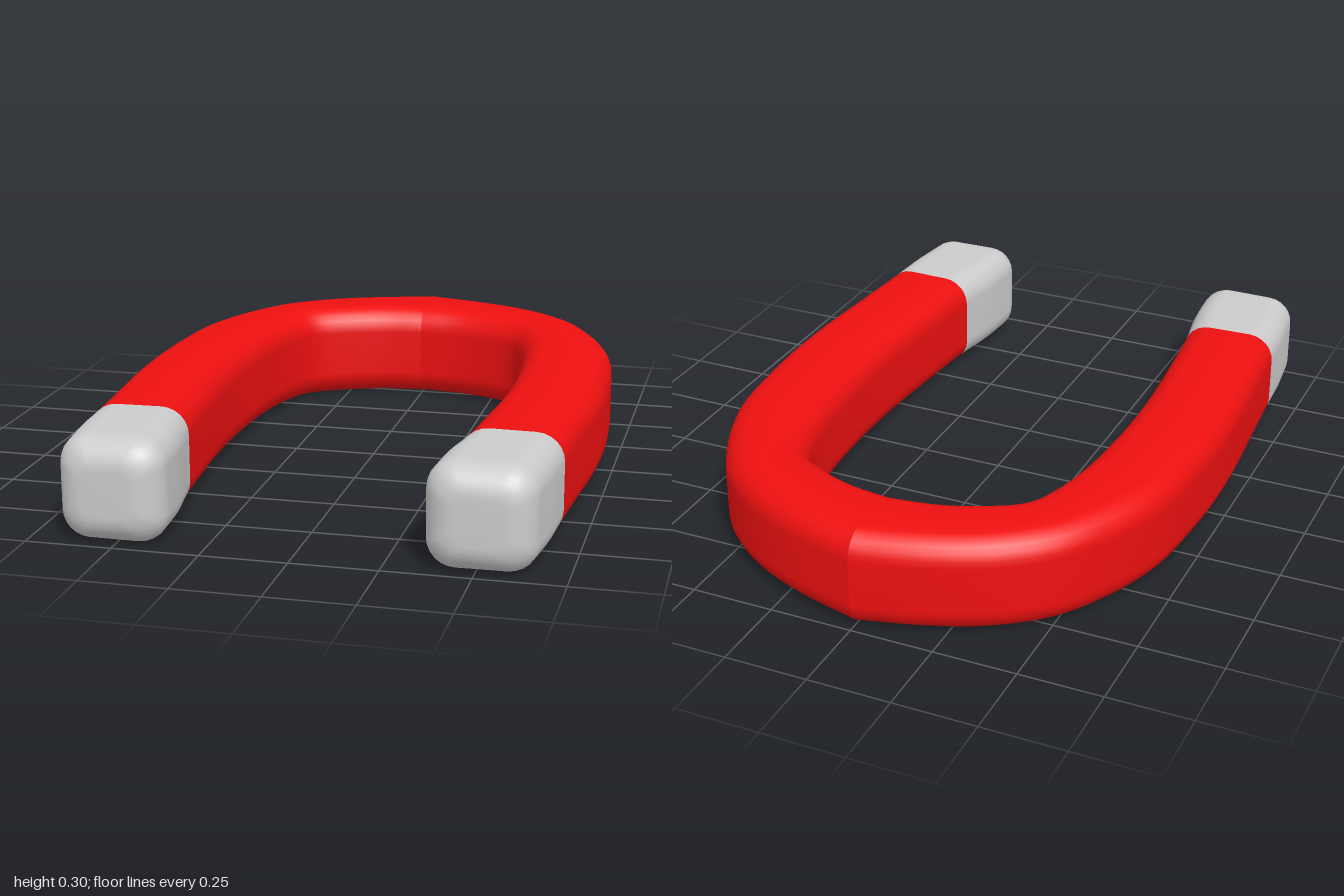
import * as THREE from 'three';

// Outline pairs for one half, from the bend to the tip: [outer x, outer z, inner x, inner z]
const OUTLINE = [
  [0, -1, 0, -0.71], [0.2, -0.945, 0.13, -0.69], [0.37, -0.87, 0.25, -0.645],
  [0.52, -0.75, 0.34, -0.585], [0.62, -0.59, 0.385, -0.48], [0.69, -0.4, 0.415, -0.33],
  [0.715, -0.2, 0.43, -0.15], [0.725, 0, 0.435, 0], [0.72, 0.2, 0.43, 0.2],
  [0.705, 0.4, 0.415, 0.4], [0.688, 0.635, 0.395, 0.625], [0.68, 0.78, 0.37, 0.78],
  [0.665, 0.91, 0.36, 0.915],
];
const SEAM = 10;          // outline pair where the red paint ends
const STEPS = 5;          // rings per outline span
const HALF_HEIGHT = 0.15;
const CORNER = 0.08;
const TIP_ROUND = 0.085;

// Rounded-rectangle ring between an inner and an outer point
function ring(outer, inner, inset = 0, push = 0) {
  const mid = outer.clone().add(inner).multiplyScalar(0.5);
  const across = outer.clone().sub(inner);
  const w = across.length() / 2 - inset, h = HALF_HEIGHT - inset;
  across.normalize();
  const along = new THREE.Vector3(-across.z, 0, across.x);
  const r = Math.max(CORNER - inset * 0.6, 0.03);
  const points = [];
  for (let q = 0; q < 4; q++) {
    const sx = q === 0 || q === 3 ? 1 : -1, sy = q < 2 ? 1 : -1;
    for (let k = 0; k <= 6; k++) {
      const a = (q + k / 6) * Math.PI / 2;
      const u = sx * (w - r) + r * Math.cos(a);
      const v = sy * (h - r) + r * Math.sin(a);
      const p = mid.clone().addScaledVector(across, u).addScaledVector(along, push);
      p.y = HALF_HEIGHT + v;
      points.push(p);
    }
  }
  return points;
}

// Smooth skin over a list of rings, mirrored by side, with an optional closed end
function skin(rings, side, closed) {
  const n = rings[0].length, pos = [], index = [];
  const tri = (a, b, c) => (side > 0 ? index.push(a, b, c) : index.push(a, c, b));
  rings.forEach(r => r.forEach(p => pos.push(p.x * side, p.y, p.z)));
  for (let i = 0; i < rings.length - 1; i++) {
    for (let j = 0; j < n; j++) {
      const a = i * n + j, b = i * n + (j + 1) % n;
      tri(a, b, a + n);
      tri(b, b + n, a + n);
    }
  }
  if (closed) {
    const last = rings[rings.length - 1], c = new THREE.Vector3();
    last.forEach(p => c.addScaledVector(p, 1 / n));
    pos.push(c.x * side, c.y, c.z);
    const base = (rings.length - 1) * n;
    for (let j = 0; j < n; j++) tri(base + j, base + (j + 1) % n, rings.length * n);
  }
  const g = new THREE.BufferGeometry();
  g.setAttribute('position', new THREE.Float32BufferAttribute(pos, 3));
  g.setIndex(index);
  g.computeVertexNormals();
  return g;
}

export function createModel() {
  const group = new THREE.Group();
  group.name = 'horseshoeMagnet';
  const red = new THREE.MeshStandardMaterial({ color: 0xee1010 });
  const grey = new THREE.MeshStandardMaterial({ color: 0xcccccc });

  const curve = k => new THREE.CatmullRomCurve3(
    OUTLINE.map(p => new THREE.Vector3(p[k], 0, p[k + 1])));
  const outer = curve(0), inner = curve(2);
  const total = (OUTLINE.length - 1) * STEPS;
  const rings = [];
  for (let i = 0; i <= total; i++) {
    rings.push(ring(outer.getPoint(i / total), inner.getPoint(i / total)));
  }
  // Rounded end of the tip
  for (let k = 1; k <= 8; k++) {
    const a = (k / 8) * Math.PI / 2;
    rings.push(ring(outer.getPoint(1), inner.getPoint(1),
      TIP_ROUND * (1 - Math.cos(a)), TIP_ROUND * Math.sin(a)));
  }

  // Each half is its own skin, leaving a crease in the middle of the bend
  const seam = SEAM * STEPS;
  for (const [side, name] of [[1, 'left'], [-1, 'right']]) {
    const arm = new THREE.Mesh(skin(rings.slice(0, seam + 1), side, false), red);
    arm.name = name + 'Arm';
    const tip = new THREE.Mesh(skin(rings.slice(seam), side, true), grey);
    tip.name = name + 'Tip';
    group.add(arm, tip);
  }
  return group;
}
